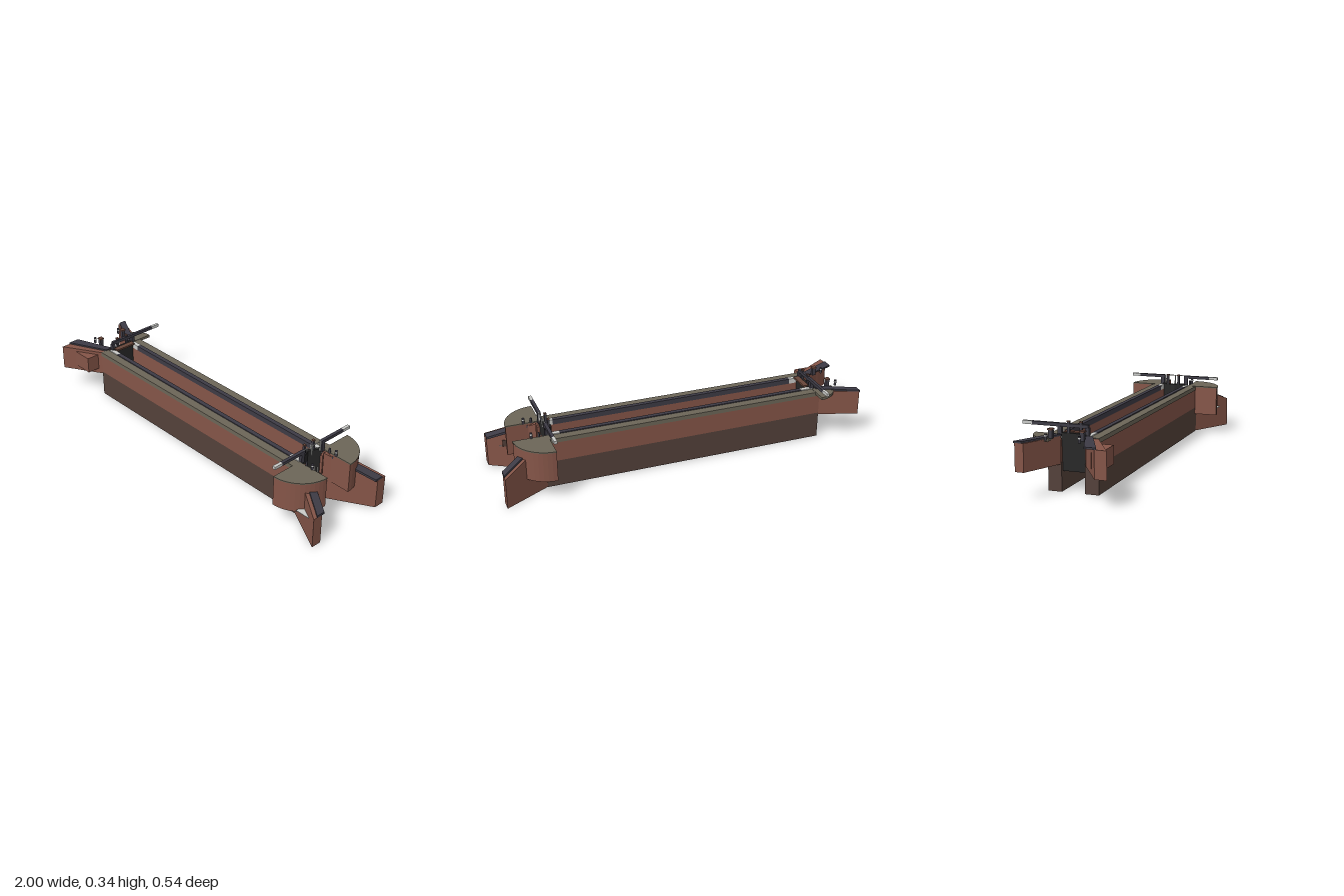
import * as THREE from 'three';

const material = (name, color) => {
  const m = new THREE.MeshStandardMaterial({ color });
  m.name = name;
  return m;
};

export function createModel() {
  const model = new THREE.Group();
  model.name = 'canalLock';
  const brick = material('brick', 0x855548);
  const footing = material('dark footing', 0x54413a);
  const stone = material('coping stone', 0x6c6658);
  const edging = material('dark edging', 0x3d3b45);
  const pale = material('pale paint', 0xcbccc9);
  const gateBlack = material('gate timber', 0x272727);
  const wood = material('brown wood', 0x68463a);

  const add = (name, geometry, mat) => {
    const mesh = new THREE.Mesh(geometry, mat);
    mesh.name = name;
    model.add(mesh);
    return mesh;
  };
  // Box given by its two extremes on each axis
  const block = (name, mat, x0, x1, y0, y1, z0, z1) => {
    const m = add(name, new THREE.BoxGeometry(x1 - x0, y1 - y0, Math.abs(z1 - z0)), mat);
    m.position.set((x0 + x1) / 2, (y0 + y1) / 2, (z0 + z1) / 2);
    return m;
  };
  // Tapered box: each end is [x, bottom, top, nearZ, farZ], ends ordered by x
  const skew = (name, mat, a, b) => {
    const g = new THREE.BoxGeometry(1, 1, 1).toNonIndexed();
    const p = g.attributes.position;
    for (let i = 0; i < p.count; i++) {
      const [x, y0, y1, z0, z1] = p.getX(i) < 0 ? a : b;
      p.setXYZ(i, x, p.getY(i) < 0 ? y0 : y1, p.getZ(i) < 0 ? Math.min(z0, z1) : Math.max(z0, z1));
    }
    g.computeVertexNormals();
    return add(name, g, mat);
  };
  const post = (name, mat, x, z, y0, y1, r) => {
    const m = add(name, new THREE.CylinderGeometry(r, r, y1 - y0, 10), mat);
    m.position.set(x, (y0 + y1) / 2, z);
  };
  // Quarter round standing upright; dx and dz are the directions it opens to
  const quarter = (name, mat, cx, cz, r, dx, dz, y0, y1) => {
    const s = new THREE.Shape();
    s.moveTo(0, 0);
    for (let i = 0; i <= 12; i++) {
      const a = (i / 12) * Math.PI / 2;
      s.lineTo(dx * r * Math.cos(a), -dz * r * Math.sin(a));
    }
    const g = new THREE.ExtrudeGeometry(s, { depth: y1 - y0, bevelEnabled: false });
    g.rotateX(-Math.PI / 2);
    add(name, g, mat).position.set(cx, y0, cz);
  };

  for (const s of [1, -1]) {
    // Chamber walls, open between them
    block('wallFooting', footing, -0.79, 0.76, 0, 0.145, s * 0.06, s * 0.13);
    block('wallBrick', brick, -0.79, 0.755, 0.145, 0.252, s * 0.062, s * 0.13);
    block('coping', stone, -0.79, 0.74, 0.252, 0.275, s * 0.085, s * 0.133);
    block('chamberEdge', edging, -0.70, 0.67, 0.252, 0.28, s * 0.062, s * 0.087);
    block('paleEdgeLeft', pale, 0.67, 0.735, 0.252, 0.28, s * 0.062, s * 0.087);
    block('paleEdgeRight', pale, -0.77, -0.70, 0.252, 0.28, s * 0.062, s * 0.087);

    // Rounded piers and sloping wings at the lower end
    quarter('pier', brick, 0.735, s * 0.083, 0.18, 1, s, 0.108, 0.27);
    quarter('pierCap', stone, 0.735, s * 0.083, 0.182, 1, s, 0.27, 0.276);
    skew('lowerWing', brick, [0.76, 0, 0.272, s * 0.062, s * 0.127], [1, 0, 0.165, s * 0.202, s * 0.259]);
    skew('lowerWingCap', edging, [0.80, 0.25, 0.263, s * 0.08, s * 0.125], [1, 0.163, 0.175, s * 0.187, s * 0.236]);

    // Wings at the upper end
    const end = s > 0 ? [0.195, 0.255] : [-0.155, -0.2];
    skew('upperWing', brick, [-1, 0.135, 0.272, ...end], [-0.785, 0.135, 0.272, s * 0.062, s * 0.128]);
    const cap = s > 0 ? [0.145, 0.205] : [-0.165, -0.207];
    skew('upperWingCap', edging, [-1, 0.272, 0.281, ...cap], [-0.785, 0.272, 0.281, s * 0.06, s * 0.1]);

    // Balance beams of the lower gate, with pivot posts and pale tips
    block('lowerBeam', edging, 0.73, 0.747, 0.32, 0.336, s * 0.06, s * 0.217);
    block('lowerBeamTip', pale, 0.73, 0.747, 0.32, 0.336, s * 0.217, s * 0.267);
    block('beamPost', edging, 0.73, 0.747, 0.27, 0.32, s * 0.062, s * 0.083);

    // Mitre gate leaf
    skew('lowerGateLeaf', gateBlack, [0.695, 0.012, 0.285, 0, s * 0.012], [0.725, 0.012, 0.285, s * 0.055, s * 0.072]);
    const leaf = [[0.695, 0], [0.725, s * 0.068], [0.742, s * 0.068], [0.712, 0]];
    const shape = new THREE.Shape(leaf.map(([x, z]) => new THREE.Vector2(x, -z)));
    const g = new THREE.ExtrudeGeometry(shape, { depth: 0.275, bevelEnabled: false });
    g.rotateX(-Math.PI / 2);
    add('lowerGatePlanks', g, gateBlack).position.y = 0.012;

    // Paddle gear on both gates
    for (const [x, y] of [[0.715, 0.337], [-0.765, 0.337]]) {
      block('paddleStand', edging, x - 0.006, x + 0.006, 0.28, y, s * 0.026, s * 0.038);
      block('paddleCap', wood, x - 0.007, x + 0.007, y, y + 0.006, s * 0.025, s * 0.039);
    }

    // Bollards with pale bands
    for (const x of [-0.91, 0.82]) {
      post('bollard', edging, x, s * 0.085, 0.274, 0.306, 0.007);
      post('bollardBand', pale, x, s * 0.085, 0.294, 0.3, 0.0078);
    }
    block('windlassPost', edging, -0.87, -0.85, 0.274, 0.315, s * 0.07, s * 0.09);
    block('windlassCap', wood, -0.873, -0.847, 0.315, 0.322, s * 0.067, s * 0.093);
    post('groundPaddle', edging, 0.78, s * 0.083, 0.274, 0.3, 0.006);
  }

  // Upper gate with walkway and single beam
  block('upperGate', gateBlack, -0.775, -0.745, 0.1, 0.285, -0.066, 0.066);
  block('upperWalkway', wood, -0.757, -0.727, 0.28, 0.29, -0.062, 0.062);
  block('upperBeam', edging, -0.773, -0.757, 0.313, 0.33, -0.22, 0.07);
  block('upperBeamTip', pale, -0.773, -0.757, 0.313, 0.33, -0.27, -0.22);
  block('upperBeamPost', edging, -0.775, -0.755, 0.27, 0.315, 0.055, 0.075);
  block('upperBeamPost', edging, -0.775, -0.755, 0.27, 0.315, -0.085, -0.065);

  // Handrail of the lower gate
  block('handrail', pale, 0.738, 0.742, 0.333, 0.337, -0.06, 0.066);
  for (const z of [0.063, 0.004, -0.056]) block('railPost', pale, 0.737, 0.743, 0.28, 0.334, z - 0.003, z + 0.003);

  // Leaking jets and the splash plate below them
  block('splashPlate', pale, 0.735, 0.80, 0.123, 0.126, -0.06, 0.067);
  for (const [z, top] of [[0.046, 0.217], [0.017, 0.202], [-0.016, 0.205], [-0.043, 0.19]])
    block('waterJet', pale, 0.743, 0.748, 0.125, top, z - 0.0025, z + 0.0025);

  // Culvert outlet beside the pier, and its splash
  block('culvertSplash', pale, 0.86, 0.94, 0.123, 0.126, 0.16, 0.23);
  block('culvertOutlet', footing, 0.885, 0.925, 0.125, 0.162, 0.147, 0.152);

  // Buttress on the upper front wing and rounded slab on the upper back
  skew('buttress', brick, [-0.93, 0.165, 0.255, 0.15, 0.215], [-0.81, 0.165, 0.255, 0.09, 0.215]);
  quarter('roundedSlab', stone, -0.765, -0.085, 0.12, -1, -1, 0.262, 0.277);

  return model;
}
